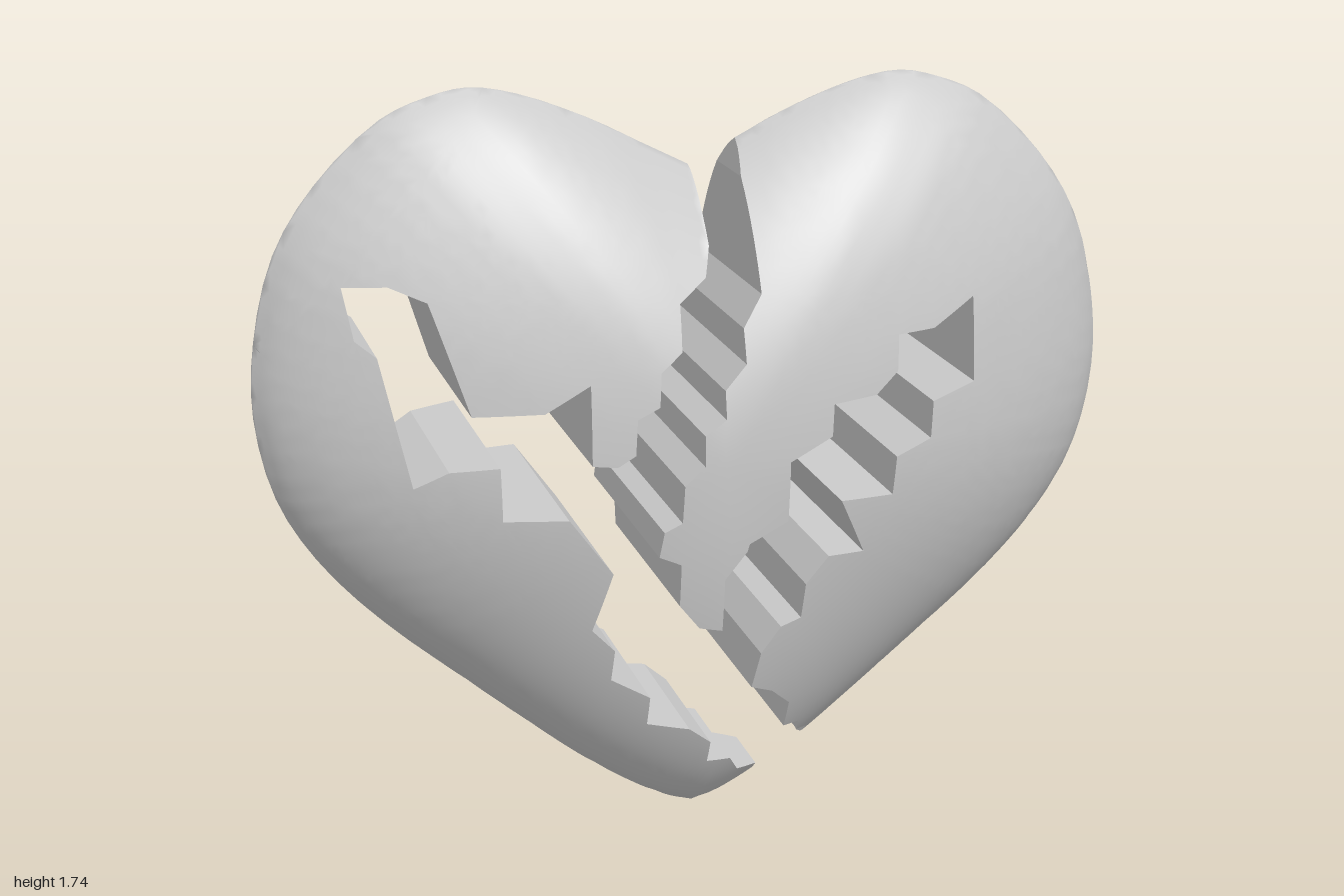
import * as THREE from 'three';

const CENTRE = [0, 0.93], DEPTH = 0.345, MAX_EDGE = 0.045;

// Half of the heart outline, from bottom tip to top notch
const halfPoints = [[0, 0], [0.06, 0.018], [0.15, 0.065], [0.27, 0.145], [0.39, 0.24], [0.53, 0.355],
  [0.735, 0.53], [0.87, 0.68], [0.955, 0.83], [0.997, 1.02], [0.99, 1.19], [0.94, 1.385], [0.845, 1.535],
  [0.695, 1.675], [0.59, 1.72], [0.5, 1.738], [0.39, 1.72], [0.23, 1.66], [0.11, 1.6], [0, 1.545]];
const half = new THREE.CatmullRomCurve3(halfPoints.map(([x, y]) => new THREE.Vector3(x, y, 0)))
  .getPoints(57).map(p => [p.x, Math.max(0, p.y)]);
const mirrored = half.map(([x, y]) => [-x, y]).reverse();
const outline = [...half, ...mirrored.slice(1, -1)];

// Jagged crack edges, top to bottom
const crackA = [[0, 1.545], [0, 1.395], [-0.02, 1.335], [-0.09, 1.29], [-0.095, 1.19], [-0.145, 1.15],
  [-0.15, 1.075], [-0.2, 1.05], [-0.205, 0.97], [-0.245, 0.945], [-0.3, 0.95], [-0.3, 1.13], [-0.4, 1.07],
  [-0.555, 1.065], [-0.635, 1.31], [-0.715, 1.342], [-0.81, 1.337], [-0.79, 1.225], [-0.745, 1.19],
  [-0.71, 1.03], [-0.68, 0.9], [-0.605, 0.94], [-0.497, 0.95], [-0.492, 0.825], [-0.35, 0.825], [-0.25, 0.69],
  [-0.29, 0.545], [-0.237, 0.49], [-0.24, 0.41], [-0.15, 0.36], [-0.15, 0.283], [-0.053, 0.267], [0, 0.225],
  [0, 0.165], [0.06, 0.16], [0.09, 0.112], [0.145, 0.107], [0.145, 0.065]];
const crackB = [[0.11, 1.6], [0.096, 1.53], [0.096, 1.3], [0.05, 1.23], [0.05, 1.155], [0, 1.1], [0, 1.037],
  [-0.05, 1.005], [-0.05, 0.935], [-0.096, 0.893], [-0.1, 0.807], [-0.14, 0.786], [-0.15, 0.727],
  [-0.1, 0.706], [-0.1, 0.604], [-0.053, 0.545], [0, 0.535], [0, 0.663], [0.05, 0.727], [0.055, 0.745],
  [0.145, 0.79], [0.147, 0.93], [0.246, 0.98], [0.25, 1.053], [0.353, 1.064], [0.406, 1.112], [0.41, 1.193],
  [0.5, 1.198], [0.604, 1.257], [0.604, 1.064], [0.497, 1.032], [0.492, 0.947], [0.406, 0.914], [0.4, 0.824],
  [0.273, 0.824], [0.337, 0.69], [0.25, 0.69], [0.198, 0.626], [0.193, 0.54], [0.144, 0.524], [0.1, 0.46],
  [0.085, 0.37], [0.14, 0.348], [0.193, 0.3], [0.193, 0.225], [0.235, 0.225], [0.24, 0.193],
  [0.272, 0.187], [0.272, 0.145]];

// Radial position: 0 at the centre, 1 on the outline
function radial(x, y) {
  const px = x - CENTRE[0], py = y - CENTRE[1];
  for (let i = 0; i < outline.length; i++) {
    const a = outline[i], b = outline[(i + 1) % outline.length];
    const ax = a[0] - CENTRE[0], ay = a[1] - CENTRE[1], bx = b[0] - CENTRE[0], by = b[1] - CENTRE[1];
    const d = ax * by - ay * bx;
    const u = (px * by - py * bx) / d, v = (ax * py - ay * px) / d;
    if (u >= -1e-9 && v >= -1e-9) return u + v;
  }
  return 0;
}

// Half thickness of the pillow-like heart
function thickness(x, y) {
  const s = Math.min(1, radial(x, y));
  const up = Math.max(0, y - CENTRE[1]) / (Math.hypot(x, y - CENTRE[1]) || 1);
  return s > 1 - 1e-7 ? 0 : DEPTH * Math.pow(1 - s * s, 0.6 + 0.15 * up);
}

// Surface normal of the front, turning fully sideways at the rim
function surfaceNormal(x, y) {
  const s = radial(x, y), k = s > 0.98 ? 0.98 / s : 1, e = 0.006;
  const qx = x * k, qy = CENTRE[1] + (y - CENTRE[1]) * k;
  const gx = (thickness(qx + e, qy) - thickness(qx - e, qy)) / (2 * e);
  const gy = (thickness(qx, qy + e) - thickness(qx, qy - e)) / (2 * e);
  return new THREE.Vector3(-gx, -gy, s > 0.9999 ? 0 : 1).normalize();
}

function snapToRim([x, y]) {
  const s = radial(x, y);
  return [x / s, CENTRE[1] + (y - CENTRE[1]) / s];
}

// Puffed solid from a counter-clockwise polygon, with straight crack walls
function buildPiece(name, polygon, material) {
  const cache = new Map();
  const vertex = (x, y) => {
    const key = `${Math.round(x * 1e6)},${Math.round(y * 1e6)}`;
    if (!cache.has(key)) cache.set(key, { key, x, y, z: thickness(x, y), n: surfaceNormal(x, y) });
    return cache.get(key);
  };
  const verts = polygon.map(([x, y]) => vertex(x, y));
  const faces = THREE.ShapeUtils.triangulateShape(polygon.map(p => new THREE.Vector2(...p)), []);
  const length = (a, b) => Math.hypot(a.x - b.x, a.y - b.y, a.z - b.z);

  // Halve the longest edge until every triangle is small
  const stack = faces.map(f => f.map(i => verts[i])), triangles = [];
  while (stack.length) {
    let [a, b, c] = stack.pop();
    const ab = length(a, b), bc = length(b, c), ca = length(c, a), longest = Math.max(ab, bc, ca);
    if (longest < MAX_EDGE) { triangles.push([a, b, c]); continue; }
    if (longest === bc) [a, b, c] = [b, c, a];
    else if (longest === ca) [a, b, c] = [c, a, b];
    const m = vertex((a.x + b.x) / 2, (a.y + b.y) / 2);
    stack.push([a, m, c], [m, b, c]);
  }

  const positions = [], normals = [];
  const add = (v, side, n = v.n, flip = side) => {
    positions.push(v.x, v.y, v.z * side);
    normals.push(n.x, n.y, n.z * flip);
  };
  // Front and back skins
  const edges = new Map();
  for (const [a, b, c] of triangles) {
    [a, b, c].forEach(v => add(v, 1));
    [a, c, b].forEach(v => add(v, -1));
    for (const [p, q] of [[a, b], [b, c], [c, a]]) {
      const back = `${q.key}|${p.key}`;
      if (edges.has(back)) edges.delete(back);
      else edges.set(`${p.key}|${q.key}`, [p, q]);
    }
  }
  // Crack walls along the open edges
  for (const [a, b] of edges.values()) {
    if (a.z < 1e-4 && b.z < 1e-4) continue;
    const n = new THREE.Vector3(b.y - a.y, a.x - b.x, 0).normalize();
    for (const [v, side] of [[a, -1], [b, -1], [b, 1], [a, -1], [b, 1], [a, 1]]) add(v, side, n, 1);
  }
  const geometry = new THREE.BufferGeometry();
  geometry.setAttribute('position', new THREE.Float32BufferAttribute(positions, 3));
  geometry.setAttribute('normal', new THREE.Float32BufferAttribute(normals, 3));
  const mesh = new THREE.Mesh(geometry, material);
  mesh.name = name;
  return mesh;
}

export function createModel() {
  const group = new THREE.Group();
  group.name = 'brokenHeart';
  const material = new THREE.MeshStandardMaterial({ color: 0xcccccc });
  const snapEnds = crack => crack.map((p, i) => (i === 0 || i === crack.length - 1 ? snapToRim(p) : p));
  const a = snapEnds(crackA), b = snapEnds(crackB);

  // Right half keeps the bottom tip
  const tip = half.filter(([x, y]) => y < 0.5 && x > 0.001 && x < a[a.length - 1][0] - 0.005);
  group.add(buildPiece('rightHalf', [...mirrored.slice(1), ...tip, ...a.slice().reverse()], material));

  // Left half
  const rim = half.filter(([x, y]) => (y < 1 ? x > b[b.length - 1][0] + 0.005 : x > b[0][0] + 0.005));
  group.add(buildPiece('leftHalf', [...rim, ...b], material));
  return group;
}
